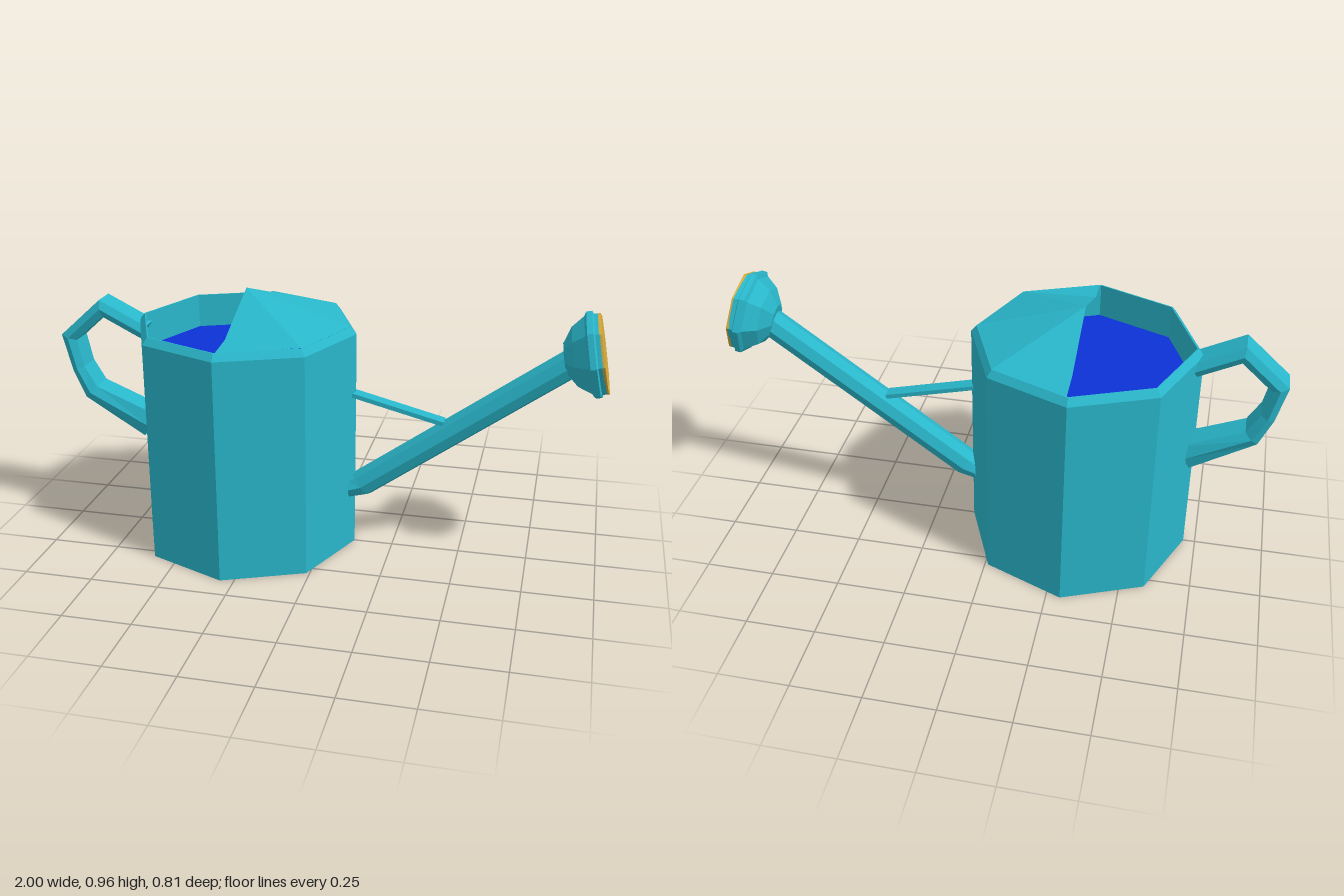
import * as THREE from 'three';

const paint = (color, side = THREE.FrontSide) =>
  new THREE.MeshStandardMaterial({ color, side, flatShading: true });
const teal = paint(0x29b6ca);
const tealThin = paint(0x29b6ca, THREE.DoubleSide);
const blue = paint(0x0d32d6);
const gold = paint(0xd4aa3c);

function add(parent, name, geometry, material) {
  const mesh = new THREE.Mesh(geometry, material);
  mesh.name = name;
  parent.add(mesh);
  return mesh;
}

const V2 = (list) => list.map(([x, y]) => new THREE.Vector2(x, y));

function fromTriangles(points) {
  const g = new THREE.BufferGeometry();
  g.setAttribute('position', new THREE.Float32BufferAttribute(points.flat(), 3));
  g.computeVertexNormals();
  return g;
}

// Sweeps a section of [normal, z] points through rings {x, y, angle, size} lying in the xy plane
function sweep(rings, section) {
  const tris = [];
  const n = section.length;
  const rows = rings.map(({ x, y, angle, size }) => section.map(([u, z]) =>
    [x - Math.sin(angle) * u * size, y + Math.cos(angle) * u * size, z]));
  for (let i = 0; i < rows.length - 1; i++) {
    for (let j = 0; j < n; j++) {
      const k = (j + 1) % n;
      const a = rows[i][j], b = rows[i][k], c = rows[i + 1][k], d = rows[i + 1][j];
      tris.push(a, b, c, a, c, d);
    }
  }
  const first = rows[0], last = rows[rows.length - 1];
  for (let j = 1; j < n - 1; j++) {
    tris.push(first[0], first[j + 1], first[j], last[0], last[j], last[j + 1]);
  }
  return fromTriangles(tris);
}

function polygon(radius, sides, cx = 0, cy = 0) {
  const pts = [];
  for (let i = 0; i < sides; i++) {
    const a = (i / sides) * Math.PI * 2;
    pts.push([cx + radius * Math.cos(a), cy + radius * Math.sin(a)]);
  }
  return V2(pts);
}

export function createModel() {
  const model = new THREE.Group();
  model.name = 'wateringCan';

  // Octagonal body with chamfered rim and inner wall
  const can = new THREE.Group();
  can.name = 'can';
  can.position.x = -0.3;
  model.add(can);
  add(can, 'body', new THREE.LatheGeometry(V2([
    [0, 0], [0.407, 0], [0.407, 0.82], [0.387, 0.845], [0.382, 0.845], [0.382, 0.7],
  ]), 8), teal);
  const water = add(can, 'water', new THREE.CylinderGeometry(0.381, 0.381, 0.02, 8), blue);
  water.position.y = 0.71;

  // Peaked half cover sloping down to the front rim
  const hood = [];
  for (const s of [1, -1]) {
    const peak = [0.005, 0.965, 0], shoulder = [0.005, 0.855, 0.27 * s];
    const edge = [0.005, 0.845, 0.386 * s], tip = [0.385, 0.847, 0];
    const corner = [0.273, 0.847, 0.273 * s];
    const half = [[peak, shoulder, corner], [peak, corner, tip], [shoulder, edge, corner]];
    for (const [a, b, c] of half) hood.push(...(s > 0 ? [a, b, c] : [a, c, b]));
  }
  add(can, 'hood', fromTriangles(hood), tealThin);

  // Strap handle, flaring at its lower end
  const strap = [[1, -0.045], [1, 0.045], [0, 0.06], [-1, 0.045], [-1, -0.045], [0, -0.06]];
  const path = [[-0.68, 0.785], [-0.84, 0.865], [-0.973, 0.745], [-0.945, 0.625],
    [-0.9, 0.535], [-0.675, 0.42]];
  const sizes = [0.026, 0.026, 0.026, 0.024, 0.03, 0.05];
  const heading = (i) => Math.atan2(path[i + 1][1] - path[i][1], path[i + 1][0] - path[i][0]);
  const handleRings = path.map(([x, y], i) => {
    const before = heading(Math.max(i - 1, 0));
    const after = heading(Math.min(i, path.length - 2));
    let turn = after - before;
    if (turn < -Math.PI) turn += Math.PI * 2;
    if (turn > Math.PI) turn -= Math.PI * 2;
    return { x, y, angle: before + turn / 2, size: sizes[i] / Math.cos(turn / 2) };
  });
  add(model, 'handle', sweep(handleRings, strap), teal);

  // Eight-sided spout, bent where it meets the body
  const round = polygon(1, 8).map((p) => [p.x, p.y * 0.053]);
  const tilt = Math.atan2(0.54, 0.745);
  add(model, 'spout', sweep([
    { x: 0.09, y: 0.23, angle: 0, size: 0.045 },
    { x: 0.135, y: 0.245, angle: tilt, size: 0.051 },
    { x: 0.88, y: 0.785, angle: tilt, size: 0.051 },
  ], round), teal);

  // Flat brace between body and spout
  const brace = add(model, 'brace', new THREE.BoxGeometry(0.36, 0.016, 0.05), teal);
  brace.position.set(0.255, 0.556, 0);
  brace.rotation.z = -Math.atan2(0.08, 0.32);

  // Sprinkler head, its axis along local y
  const head = new THREE.Group();
  head.name = 'sprinklerHead';
  head.position.set(0.967, 0.81, 0);
  head.rotation.z = -THREE.MathUtils.degToRad(79);
  model.add(head);
  add(head, 'headShell', new THREE.LatheGeometry(V2([
    [0, -0.135], [0.055, -0.135], [0.11, -0.1], [0.142, -0.055], [0.157, -0.047],
    [0.157, -0.027], [0.146, -0.022], [0.146, -0.006], [0.142, -0.006],
  ]), 8), tealThin);

  // Face plate: a frame around a square panel pierced with holes
  const half = 0.087;
  const square = V2([[-half, -half], [half, -half], [half, half], [-half, half]]);
  const frame = new THREE.Shape(polygon(0.146, 8));
  frame.holes.push(new THREE.Path(square));
  const panel = new THREE.Shape(square);
  [2, 4, 6, 6, 4, 2].forEach((count, row) => {
    for (let i = 0; i < count; i++) {
      const x = (row - 2.5) * 0.025, y = (i - (count - 1) / 2) * 0.025;
      panel.holes.push(new THREE.Path(polygon(0.006, 4, x, y)));
    }
  });
  for (const [name, shape] of [['faceFrame', frame], ['facePanel', panel]]) {
    const plate = add(head, name,
      new THREE.ExtrudeGeometry(shape, { depth: 0.01, bevelEnabled: false }), gold);
    plate.rotation.x = -Math.PI / 2;
    plate.position.y = -0.01;
  }
  return model;
}
